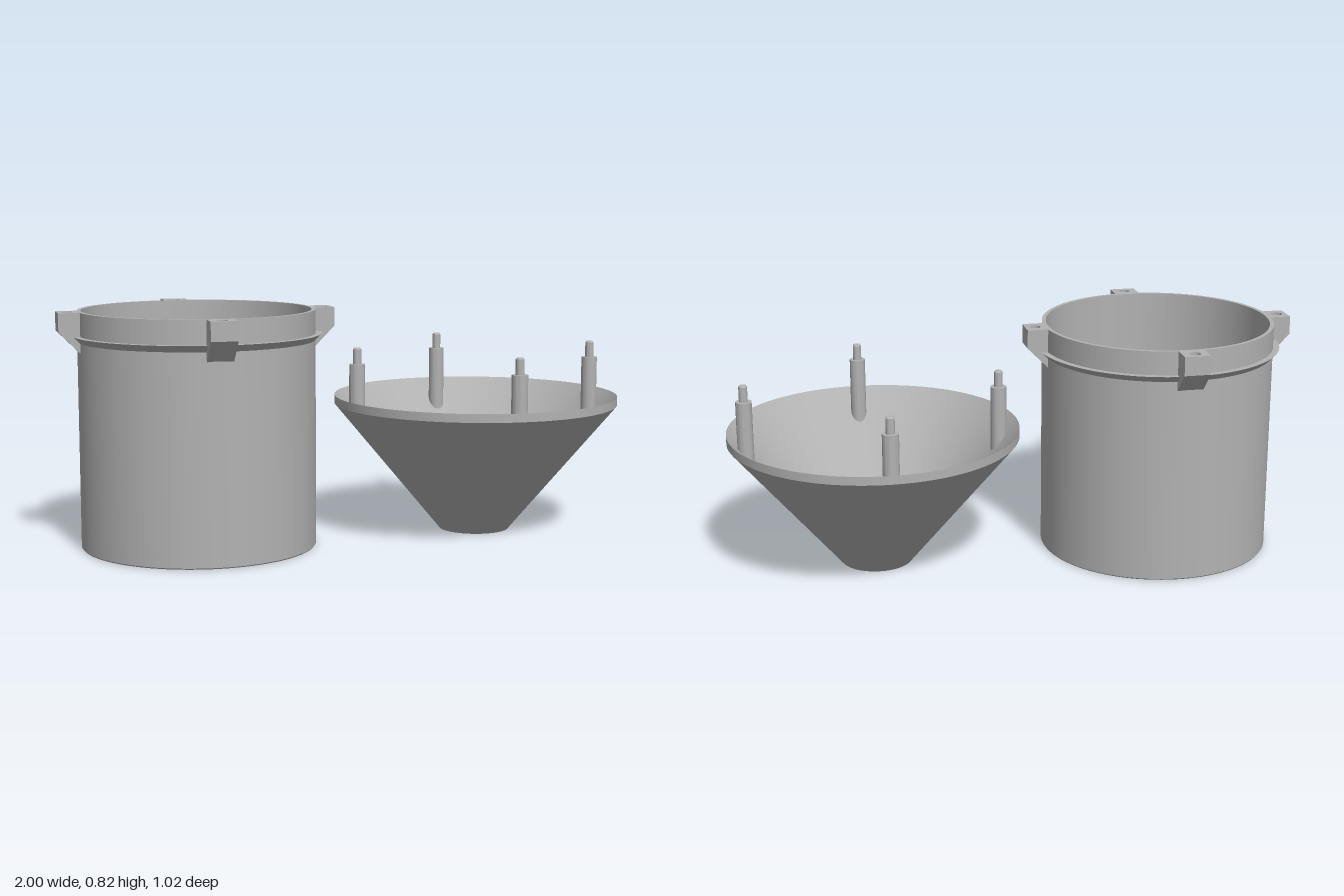
import * as THREE from 'three';
import { toCreasedNormals } from 'three/addons/utils/BufferGeometryUtils.js';

const plastic = new THREE.MeshStandardMaterial({ color: 0xb2b2b2 });
plastic.name = 'grey plastic';

const PIN_RADIUS = 0.443; // distance of pins and sockets from each axis

function part(name, geometry) {
  const mesh = new THREE.Mesh(toCreasedNormals(geometry, 0.5), plastic);
  mesh.name = name;
  return mesh;
}

// Revolves [radius, height] pairs, listed counter-clockwise
function lathe(points, segments = 96) {
  return new THREE.LatheGeometry(points.map(([r, y]) => new THREE.Vector2(r, y)), segments);
}

// Places four copies of an item around the vertical axis
function addAround(group, makeItem) {
  for (let i = 0; i < 4; i++) {
    const item = makeItem();
    item.rotation.y = (i * Math.PI) / 2;
    group.add(item);
  }
}

// Bracket with a blind socket on top and a sloped underside
function makeLug() {
  const lug = new THREE.Group();
  lug.name = 'lug';
  const inner = 0.4, outer = 0.478, half = 0.045, mid = 0.755, top = 0.82;

  const plan = new THREE.Shape();
  plan.moveTo(inner, -half);
  plan.lineTo(outer, -half);
  plan.lineTo(outer, half);
  plan.lineTo(inner, half);
  plan.closePath();
  const socket = new THREE.Path();
  socket.absarc(PIN_RADIUS, 0, 0.019, 0, Math.PI * 2, true);
  plan.holes.push(socket);
  const block = new THREE.ExtrudeGeometry(plan, { depth: top - mid, bevelEnabled: false, curveSegments: 24 });
  block.rotateX(-Math.PI / 2).translate(0, mid, 0);
  lug.add(part('lugBlock', block));

  const side = new THREE.Shape();
  side.moveTo(inner, mid - (outer - inner));
  side.lineTo(outer, mid);
  side.lineTo(inner, mid);
  side.closePath();
  const wedge = new THREE.ExtrudeGeometry(side, { depth: half * 2, bevelEnabled: false });
  wedge.translate(0, 0, -half);
  lug.add(part('lugWedge', wedge));
  return lug;
}

// Height of the funnel's inner wall at a given radius
const wallHeight = (r) => 0.03 + (0.46 * (r - 0.125)) / (0.508 - 0.125);

// Stepped pin whose foot follows the funnel wall
function makePin() {
  const geometry = lathe([
    [0.028, 0], [0.028, 0.612], [0.015, 0.612], [0.015, 0.665], [0.011, 0.67], [0, 0.67],
  ], 32);
  geometry.translate(PIN_RADIUS, 0, 0);
  const p = geometry.attributes.position;
  for (let i = 0; i < p.count; i++) {
    if (p.getY(i) < 0.1) p.setY(i, wallHeight(Math.hypot(p.getX(i), p.getZ(i))) - 0.012);
  }
  return part('pin', geometry);
}

export function createModel() {
  const model = new THREE.Group();
  model.name = 'containerAndFunnel';

  // Open container with collar and four lugs
  const container = new THREE.Group();
  container.name = 'container';
  container.position.x = -0.524;
  container.add(part('containerBody', lathe([
    [0, 0], [0.405, 0], [0.408, 0.004], [0.408, 0.82],
    [0.394, 0.82], [0.394, 0.02], [0, 0.02],
  ])));
  container.add(part('collar', lathe([[0.406, 0.713], [0.43, 0.738], [0.406, 0.738]])));
  addAround(container, makeLug);
  model.add(container);

  // Funnel-shaped cover with four pins
  const funnel = new THREE.Group();
  funnel.name = 'funnel';
  funnel.position.x = 0.492;
  funnel.add(part('funnelBody', lathe([
    [0, 0], [0.125, 0], [0.508, 0.46], [0.508, 0.49], [0.125, 0.03], [0, 0.03],
  ])));
  addAround(funnel, makePin);
  model.add(funnel);

  return model;
}
